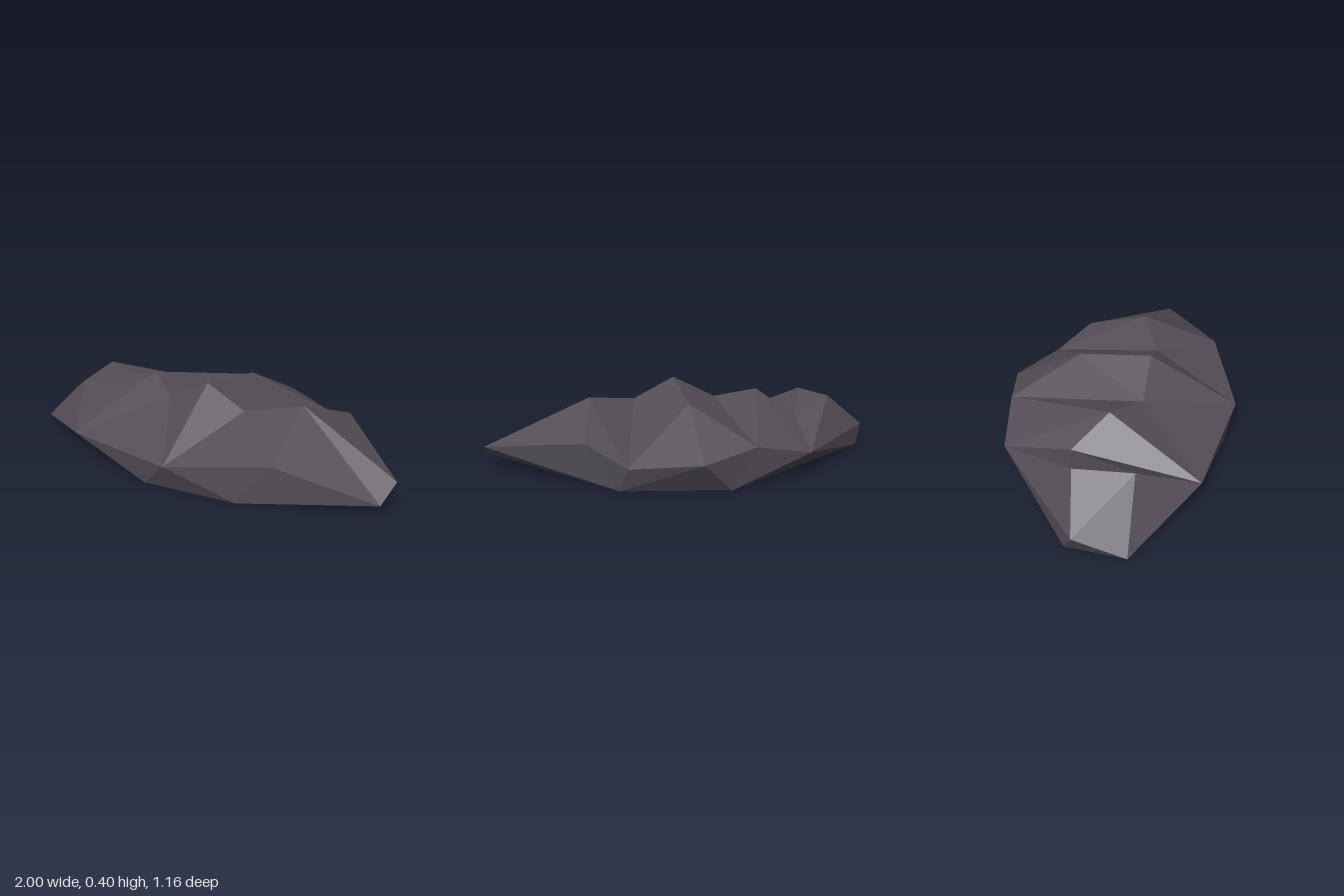
import * as THREE from 'three';

// Corner points of the rock: lower case on the base, upper case on rim and crest
const P = {
  // base
  f: [-0.05, 0, 0.55], k: [0.41, 0, 0.46], r: [0.42, 0, -0.41], s: [-0.08, 0, -0.53], a: [-0.95, 0, -0.01],
  // front rim, west to east
  B: [-0.975, 0.02, 0.28], F: [-0.53, 0.115, 0.515], K: [0.09, 0.135, 0.58], N: [0.56, 0.198, 0.395], P: [0.985, 0.05, 0.18],
  // back rim, west to east
  A: [-1, 0.1, 0.04], U: [-0.505, 0.12, -0.44], T: [-0.205, 0.19, -0.51], S: [0.065, 0.145, -0.58],
  R: [0.39, 0.117, -0.46], Q: [0.56, 0.21, -0.32], O: [1, 0.12, 0.055],
  // crest peaks and saddles
  C: [-0.77, 0.285, -0.02], D: [-0.715, 0.27, 0.25], E: [-0.56, 0.21, -0.09], G: [-0.395, 0.33, 0.05], H: [-0.2, 0.275, 0.165],
  I: [0.025, 0.395, 0.15], J: [0.04, 0.34, -0.22], L: [0.235, 0.295, 0.14], M: [0.485, 0.345, 0.015],
};

// Zips two chains of points into a band of flat facets; a repeated letter makes a fan
function band(name, material, ...chains) {
  const pos = [];
  for (const [lower, upper] of chains) {
    for (let i = 0; i + 1 < lower.length; i++) {
      const [l, l2, u, u2] = [lower[i], lower[i + 1], upper[i], upper[i + 1]];
      if (l !== l2) pos.push(...P[l], ...P[l2], ...P[u2]);
      if (u !== u2) pos.push(...P[l], ...P[u2], ...P[u]);
    }
  }
  const geo = new THREE.BufferGeometry();
  geo.setAttribute('position', new THREE.Float32BufferAttribute(pos, 3));
  geo.computeVertexNormals();
  const mesh = new THREE.Mesh(geo, material);
  mesh.name = name;
  return mesh;
}

export function createModel() {
  const stone = new THREE.MeshStandardMaterial({ color: 0x544e57 });
  stone.name = 'dark stone';
  stone.flatShading = true;

  const rock = new THREE.Group();
  rock.name = 'rock';
  rock.add(
    band('frontSlope', stone, ['BFFFFKKKNNPP', 'DDEGHHILLMMO']),
    band('backSlope', stone, ['BDDEEGGHHILLMMO', 'AACCUUTTJJJRRQQ'], ['AC', 'UU'], ['TJR', 'SSS']),
    band('frontWall', stone, ['BffkkP', 'FFKKNN']),
    band('backWall', stone, ['PrrrrsssaaB', 'OOQRSSTUUAA']),
    band('underside', stone, ['BasrrP', 'ffffkk']),
  );
  return rock;
}
